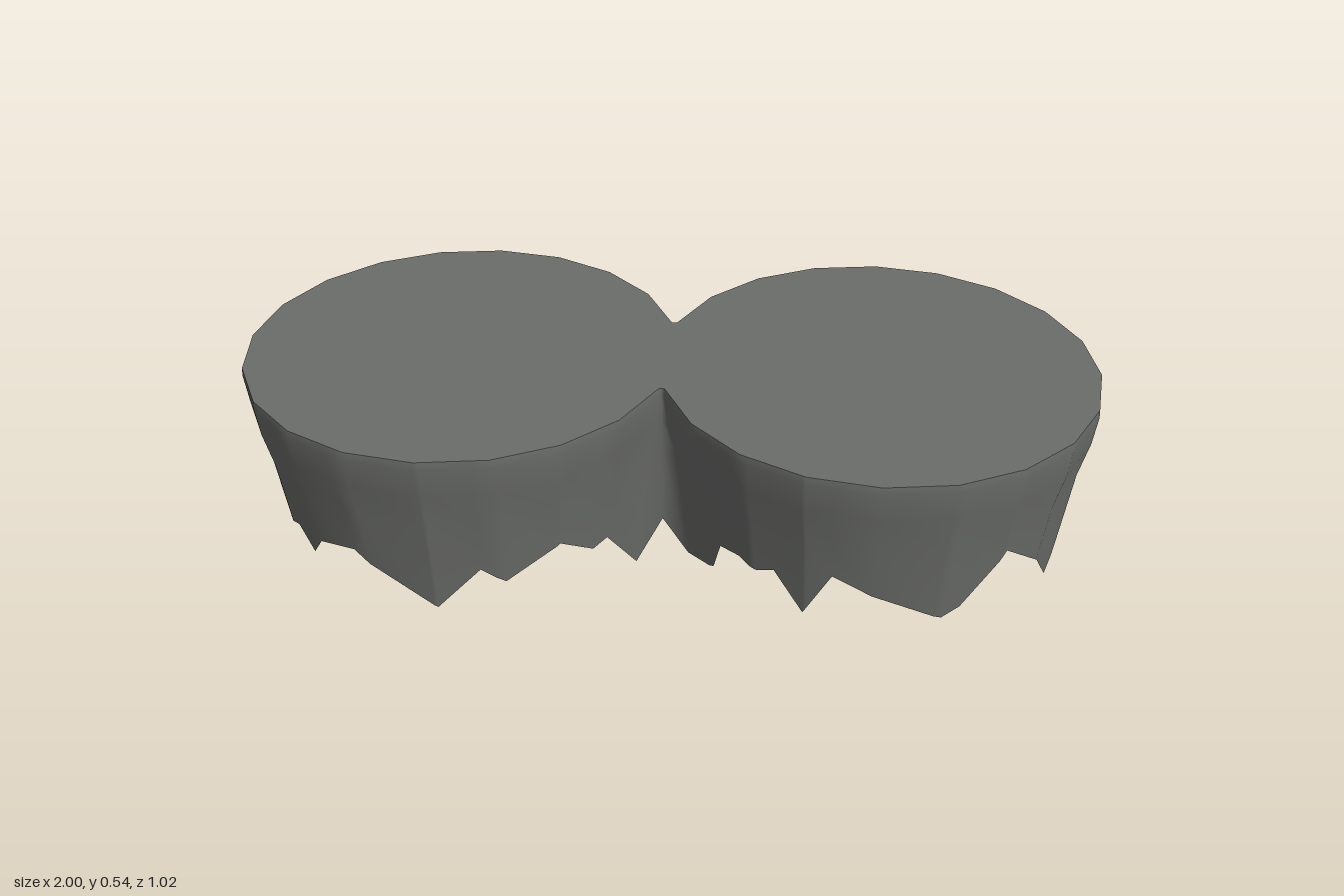
import * as THREE from 'three';

const R = 0.51, CX = 0.49, TOP = 0.54;
const rad = Math.PI / 180;

// Ragged lower edge of each lobe: [angle in degrees, height], angle 0 = +x, 90 = front
const leftEdge = [
  [-173, 0.17], [-163, 0.11], [-147, 0.25], [-143, 0.22], [-139, 0.28], [-131, 0.25], [-120, 0.32],
  [-106, 0.26], [-96, 0.30], [-85, 0.20], [-76, 0.235], [-72, 0.2], [-56, 0.25], [-44, 0.225], [-37, 0.19],
  [-22, 0.015], [-17.5, 0], [-9, 0.1], [-2, 0.05], [16, 0.16], [21, 0.085], [35, 0.2], [52, 0.3],
  [64, 0.165], [69.5, 0.145], [101, 0.265], [109, 0.14], [118, 0.235], [124, 0.215], [130, 0.23],
  [138, 0.22], [142, 0.14], [162, 0.07]];
const rightEdge = [
  [16, 0.015], [36, 0.2], [41, 0.185], [53, 0.25], [69, 0.175], [76, 0.22], [89, 0.11], [113, 0.24],
  [126, 0.22], [133, 0.155], [140, 0.205], [148, 0.185], [162, 0.19], [175, 0.32], [183, 0.14],
  [200, 0.23], [217, 0.24], [229, 0.155], [253, 0.285], [268, 0.25], [274, 0.18], [283, 0.22],
  [289, 0.17], [300, 0.23], [313, 0.21], [330, 0.16], [342, 0.14]];

// Piecewise linear lookup in a list of [position, value]
function lookup(list, t) {
  if (t <= list[0][0]) return list[0][1];
  for (let i = 1; i < list.length; i++) {
    const [a, va] = list[i - 1], [b, vb] = list[i];
    if (t <= b) return va + (vb - va) * (t - a) / (b - a);
  }
  return list[list.length - 1][1];
}

// The walls lean inward as they go down
const taper = [[0, 0.87], [0.2, 0.905], [0.36, 0.945], [0.45, 0.985], [0.52, 1], [0.54, 0.997]];

// Radius of a twenty-sided outline
function radius(deg) {
  const local = ((deg % 18) + 18) % 18;
  return R * Math.cos(9 * rad) / Math.cos((local - 9) * rad);
}

// Columns for one lobe: polygon corners plus tooth tips
function lobeColumns(cx, from, to, edge) {
  const angles = new Set(edge.map(e => e[0]).filter(a => a >= from && a <= to));
  for (let a = from; a <= to; a += 18) angles.add(a);
  return [...angles].sort((a, b) => a - b).map(a => ({
    cx, dx: radius(a) * Math.cos(a * rad), dz: radius(a) * Math.sin(a * rad),
    bottom: lookup(edge, a), corner: a % 18 === 0
  }));
}

export function createModel() {
  const group = new THREE.Group();
  const stone = new THREE.MeshStandardMaterial({ color: 0x6b6d6a, side: THREE.DoubleSide });
  stone.name = 'dark grey stone';

  // One closed loop around both lobes, with a web column at each side of the waist
  const waistZ = R * Math.sin(18 * rad);
  const columns = [
    ...lobeColumns(CX, -162, 162, leftEdge),
    { cx: 0, dx: 0, dz: waistZ, bottom: 0.17 },
    ...lobeColumns(-CX, 18, 342, rightEdge),
    { cx: 0, dx: 0, dz: -waistZ, bottom: 0.18 }
  ];

  // Skirt wall with a ragged lower edge
  const heights = [TOP, 0.52, 0.45, 0.36];
  const rows = heights.length + 1;
  const positions = [], index = [];
  columns.forEach((c, i) => {
    const next = (i + 1) % columns.length;
    [...heights, c.bottom].forEach((y, j) => {
      const s = lookup(taper, y);
      positions.push(c.cx + c.dx * s, y, c.dz * s);
      if (j < rows - 1) {
        const a = i * rows + j, b = next * rows + j;
        index.push(a, b, a + 1, b, b + 1, a + 1);
      }
    });
  });
  const wall = new THREE.BufferGeometry();
  wall.setAttribute('position', new THREE.Float32BufferAttribute(positions, 3));
  wall.setIndex(index);
  wall.computeVertexNormals();
  const skirt = new THREE.Mesh(wall, stone);
  skirt.name = 'raggedSkirt';
  group.add(skirt);

  // Flat top spanning both lobes
  const s = lookup(taper, TOP);
  const outline = columns.filter(c => c.corner !== false)
    .map(c => new THREE.Vector2(c.cx + c.dx * s, -c.dz * s));
  const cap = new THREE.ShapeGeometry(new THREE.Shape(outline));
  cap.rotateX(-Math.PI / 2);
  cap.translate(0, TOP, 0);
  const top = new THREE.Mesh(cap, stone);
  top.name = 'flatTop';
  group.add(top);

  return group;
}
